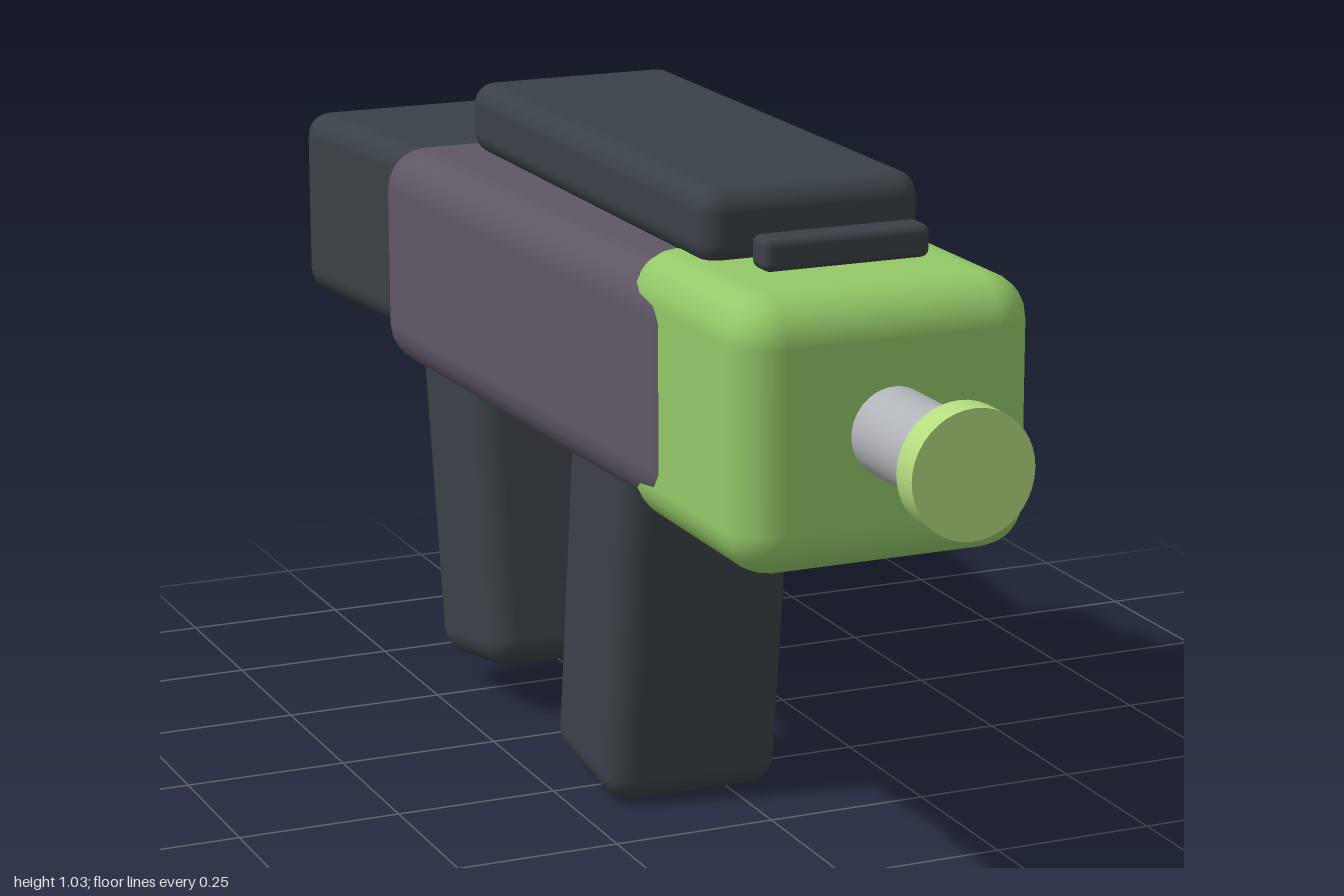
import * as THREE from 'three';
import { RoundedBoxGeometry } from 'three/addons/geometries/RoundedBoxGeometry.js';

const MID = -0.06; // x of the body's centre plane

const paint = (color) => new THREE.MeshStandardMaterial({ color });
const green = paint(0x93c868);
const lime = paint(0xb5dc80);
const purple = paint(0x5f5664);
const dark = paint(0x3a4146);
const orange = paint(0xe0a550);
const steel = paint(0xb0b3b8);

// Scale width linearly along z (1 at the back end), correcting the normals
function taper(geo, depth, frontScale) {
  const p = geo.attributes.position, n = geo.attributes.normal;
  const slope = (frontScale - 1) / depth;
  const v = new THREE.Vector3();
  for (let i = 0; i < p.count; i++) {
    const x = p.getX(i), s = 1 + slope * (p.getZ(i) + depth / 2);
    p.setX(i, x * s);
    v.set(n.getX(i) / s, n.getY(i), n.getZ(i) - n.getX(i) * x * slope / s).normalize();
    n.setXYZ(i, v.x, v.y, v.z);
  }
  return geo;
}

export function createModel() {
  const model = new THREE.Group();
  model.name = 'toyBlaster';

  const add = (name, geo, mat, x, y, z) => {
    const mesh = new THREE.Mesh(geo, mat);
    mesh.name = name;
    mesh.position.set(x, y, z);
    model.add(mesh);
    return mesh;
  };

  // Rounded block given by its extents in y and z
  const block = (name, mat, width, [y0, y1], [z0, z1], radius, frontScale = 1, x = MID) => {
    const geo = new RoundedBoxGeometry(width, y1 - y0, z1 - z0, 3, radius);
    if (frontScale !== 1) taper(geo, z1 - z0, frontScale);
    return add(name, geo, mat, x, (y0 + y1) / 2, (z0 + z1) / 2);
  };

  // Body
  block('receiver', purple, 0.53, [0.567, 0.912], [-0.54, 0.53], 0.065, 0.845);
  block('frontHousing', green, 0.446, [0.545, 0.933], [0.35, 0.765], 0.065);
  block('stock', dark, 0.464, [0.577, 0.88], [-1, -0.535], 0.04, 0.76);

  // Top details and side lever
  block('topRail', dark, 0.336, [0.923, 1.033], [-0.38, 0.513], 0.034);
  block('frontSight', dark, 0.25, [0.938, 0.985], [0.573, 0.623], 0.012);
  block('sideLever', orange, 0.16, [0.825, 0.906], [-0.283, -0.147], 0.025, 1, 0.238);

  // Barrel and muzzle disc
  const rod = (name, mat, radius, z0, z1) => {
    const geo = new THREE.CylinderGeometry(radius, radius, z1 - z0, 40).rotateX(Math.PI / 2);
    add(name, geo, mat, MID, 0.74, (z0 + z1) / 2);
  };
  rod('barrel', steel, 0.063, 0.7, 0.935);
  rod('muzzleDisc', lime, 0.09, 0.955, 1);

  // Slanted grips, placed by the centre of their foot
  const grip = (name, width, length, y, z, tilt) => {
    const geo = new RoundedBoxGeometry(width, length, 0.247, 3, 0.045).translate(0, length / 2, 0);
    add(name, geo, dark, MID, y, z).rotation.x = tilt;
  };
  grip('frontGrip', 0.28, 0.62, 0.014, -0.012, 0.125);
  grip('rearGrip', 0.308, 0.6, 0.066, -0.464, -0.165);

  return model;
}
